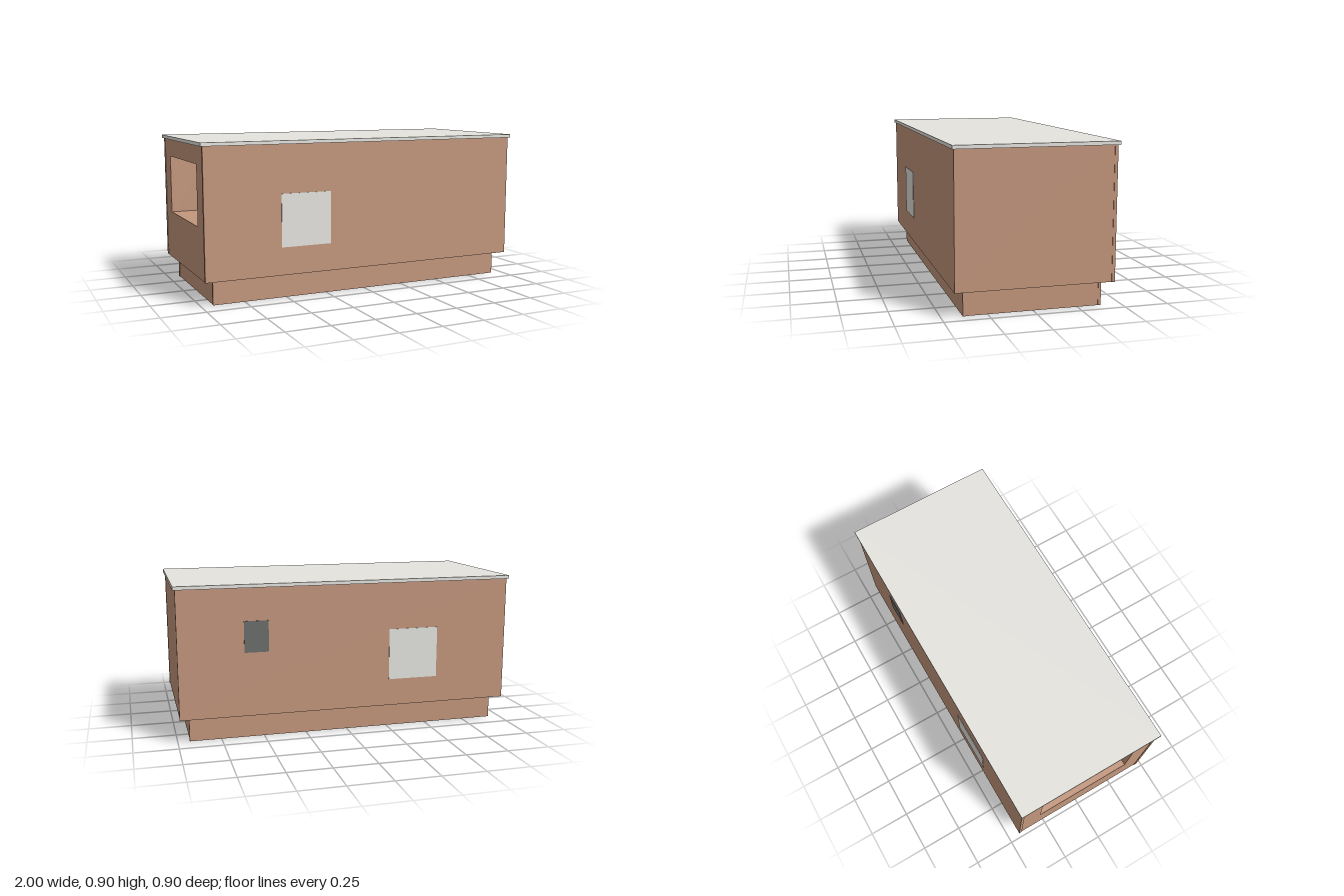
import * as THREE from 'three';

const material = (name, color) => {
  const m = new THREE.MeshStandardMaterial({ color });
  m.name = name;
  return m;
};

export function createModel() {
  const model = new THREE.Group();
  model.name = 'counter';
  const wood = material('brown wood', 0xc3977d);
  const stone = material('light grey', 0xe5e4df);
  const dark = material('dark grey', 0x6b6e6a);
  const ply = material('cream plywood', 0xe6dabd);
  const metal = material('metal', 0xd0d1d5);

  // Box given by its minimum and maximum on each axis
  const box = (name, mat, x0, x1, y0, y1, z0, z1, parent = model) => {
    const mesh = new THREE.Mesh(new THREE.BoxGeometry(x1 - x0, y1 - y0, z1 - z0), mat);
    mesh.position.set((x0 + x1) / 2, (y0 + y1) / 2, (z0 + z1) / 2);
    mesh.name = name;
    parent.add(mesh);
  };
  const cylinder = (name, mat, r, h, x, y, z) => {
    const mesh = new THREE.Mesh(new THREE.CylinderGeometry(r, r, h, 16), mat);
    mesh.position.set(x, y, z);
    mesh.name = name;
    model.add(mesh);
  };
  // Rectangular board with a rectangular opening, extruded along z
  const rect = (C, a0, a1, b0, b1) => new C([
    new THREE.Vector2(a0, b0), new THREE.Vector2(a1, b0),
    new THREE.Vector2(a1, b1), new THREE.Vector2(a0, b1)]);
  const openBoard = (name, mat, outer, inner, depth) => {
    const shape = rect(THREE.Shape, ...outer);
    shape.holes.push(rect(THREE.Path, ...inner));
    const mesh = new THREE.Mesh(new THREE.ExtrudeGeometry(shape, { depth, bevelEnabled: false }), mat);
    mesh.name = name;
    model.add(mesh);
    return mesh;
  };

  // Worktop
  box('worktop', stone, -1, 1, 0.88, 0.9, -0.45, 0.45);

  // Body panels, the ends set slightly back between front and back
  const X = 0.988, Z = 0.44, T = 0.018, Y0 = 0.142, Y1 = 0.88, INSET = 0.003;
  box('frontPanel', wood, -X, X, Y0, Y1, Z - T, Z);
  box('backPanel', wood, -X, X, Y0, Y1, -Z, -Z + T);
  box('leftEndPanel', wood, X - T, X - INSET, Y0, Y1, -Z + T, Z - T);
  const end = openBoard('rightEndPanel', wood, [-Z + T, Z - T, Y0, Y1], [-0.3, 0.3, 0.43, 0.775], T - INSET);
  end.rotation.y = -Math.PI / 2;
  end.position.x = -X + T;

  // Open niche in the right end
  const niche = new THREE.Group();
  niche.name = 'niche';
  model.add(niche);
  const nx0 = -X + T, nx1 = -X + 0.25;
  box('nicheFloor', wood, nx0, nx1, 0.415, 0.43, -0.315, 0.315, niche);
  box('nicheTop', wood, nx0, nx1, 0.775, 0.79, -0.315, 0.315, niche);
  box('nicheBack', wood, nx1, nx1 + 0.015, 0.415, 0.79, -0.315, 0.315, niche);
  for (const s of [-1, 1]) {
    box('nicheSide', wood, nx0, nx1, 0.43, 0.775, Math.min(s * 0.3, s * 0.315), Math.max(s * 0.3, s * 0.315), niche);
  }

  // Inner partition beside the niche
  box('partition', ply, nx1 + 0.015, nx1 + 0.03, 0.163, 0.86, -0.38, 0.38);

  // Thin service plates on front and back
  box('frontPlate', stone, -0.545, -0.245, 0.302, 0.605, Z, Z + 0.003);
  box('backPlate', stone, -0.545, -0.245, 0.302, 0.605, -Z - 0.003, -Z);
  box('backVent', dark, 0.475, 0.615, 0.512, 0.692, -Z - 0.003, -Z);

  // Bottom frame inside the body
  const ring = openBoard('bottomFrame', ply, [-X + T, X - T, -Z + T, Z - T], [-0.85, 0.85, -0.31, 0.31], 0.015);
  ring.rotation.x = -Math.PI / 2;
  ring.position.y = 0.148;

  // Recessed plinth with cross boards
  const PX = 0.932, PZ = 0.385, PT = 0.016;
  for (const s of [-1, 1]) {
    const zc = s * (PZ - PT / 2), xc = s * (PX - PT / 2 - INSET);
    box('plinthLong', wood, -PX, PX, 0, 0.148, zc - PT / 2, zc + PT / 2);
    box('plinthEnd', wood, xc - PT / 2, xc + PT / 2, 0, 0.148, -PZ + PT, PZ - PT);
    box('plinthCrossBoard', ply, s * 0.71 - 0.009, s * 0.71 + 0.009, 0.002, 0.148, -PZ + PT, PZ - PT);

    // Levelling screws along the plinth
    for (const x of [-0.89, 0, 0.89]) {
      cylinder('levellingScrew', dark, 0.005, 0.04, x, 0.02, s * 0.345);
      cylinder('levellingPad', dark, 0.01, 0.006, x, 0.003, s * 0.345);
    }

    // Upright battens behind the long panels
    for (const x of [0.81, 0.33, -0.15, -0.63]) {
      const z = s * (Z - T - 0.009);
      box('batten', ply, x - 0.05, x + 0.05, 0.163, 0.86, z - 0.009, z + 0.009);
    }
  }

  // Metal inner frame: rails, cross bars and legs with feet
  const B = 0.014, LX = 0.68, LZ = 0.28;
  for (const z of [-LZ, LZ]) {
    box('frameRail', metal, -LX, LX, 0.22, 0.248, z - B, z + B);
    for (const x of [-LX, LX]) {
      box('frameLeg', metal, x - B, x + B, 0.03, 0.5, z - B, z + B);
      cylinder('frameFoot', metal, 0.01, 0.03, x, 0.015, z);
    }
  }
  for (const x of [-LX, 0.23, LX]) {
    box('frameCrossBar', metal, x - B, x + B, 0.22, 0.248, -LZ + B, LZ - B);
  }

  // Equipment tray with a round drain
  box('tray', metal, 0.12, 0.5, 0.33, 0.35, -0.25, 0.28);
  cylinder('trayDrain', stone, 0.06, 0.012, 0.33, 0.324, 0.2);

  return model;
}
